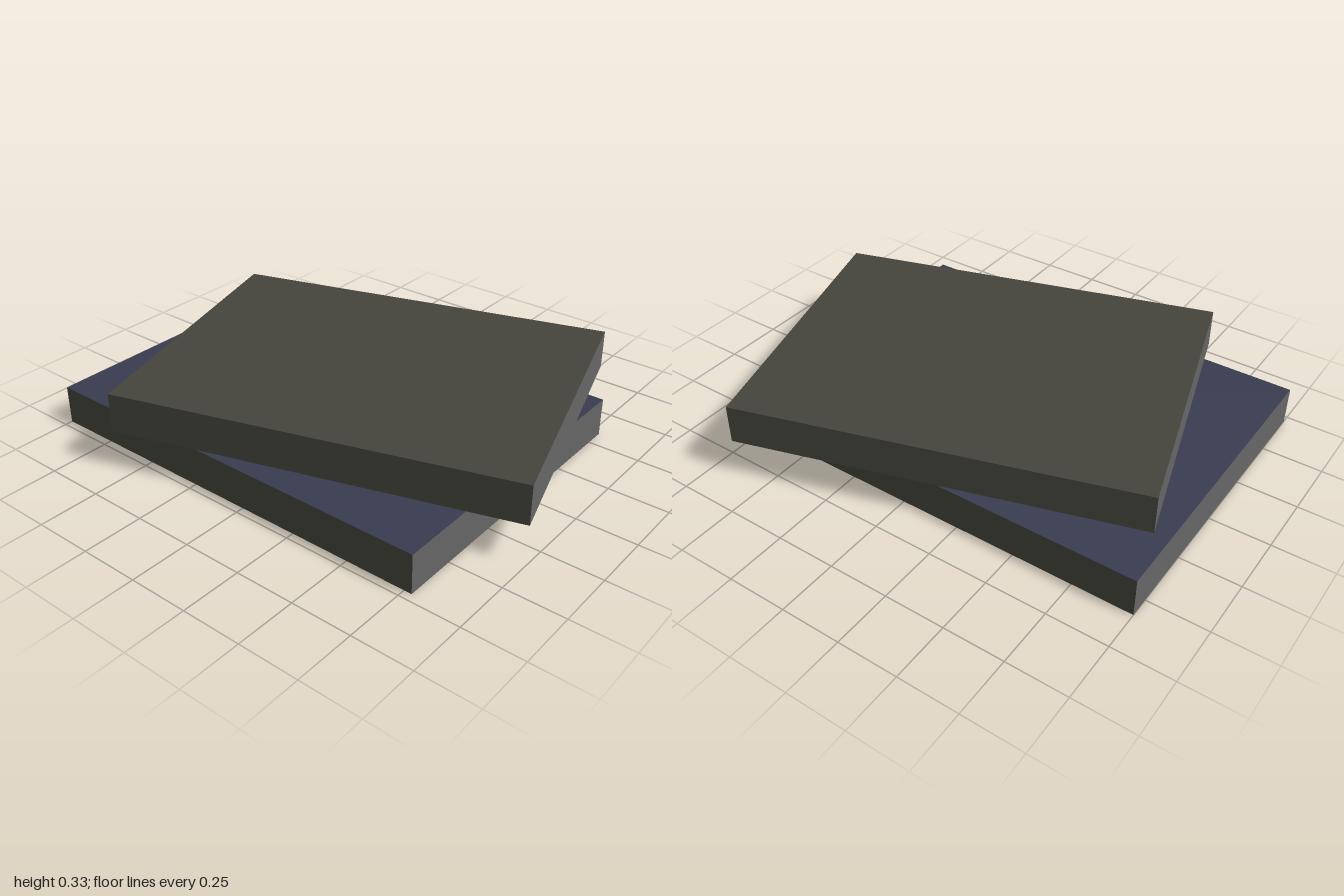
import * as THREE from 'three';

const flat = (name, color) => {
  const m = new THREE.MeshStandardMaterial({ color, side: THREE.DoubleSide });
  m.name = name;
  return m;
};

export function createModel() {
  const olive = flat('dark olive', 0x44443c);
  const grey = flat('grey', 0x666666);
  const blue = flat('slate blue', 0x383c50);

  // A shallow lid: one top panel and four thin walls, open underneath.
  function openBox(name, w, h, d, topMaterial) {
    const box = new THREE.Group();
    box.name = name;
    const panel = (part, pw, ph, material, pos, rx, ry) => {
      const mesh = new THREE.Mesh(new THREE.PlaneGeometry(pw, ph), material);
      mesh.name = part;
      mesh.position.set(...pos);
      mesh.rotation.set(rx, ry, 0);
      box.add(mesh);
    };
    panel('topPanel', w, d, topMaterial, [0, h, 0], -Math.PI / 2, 0);
    panel('frontWall', w, h, olive, [0, h / 2, d / 2], 0, 0);
    panel('backWall', w, h, olive, [0, h / 2, -d / 2], 0, Math.PI);
    panel('leftWall', d, h, grey, [w / 2, h / 2, 0], 0, Math.PI / 2);
    panel('rightWall', d, h, grey, [-w / 2, h / 2, 0], 0, -Math.PI / 2);
    return box;
  }

  const model = new THREE.Group();
  model.name = 'stackedBoxes';

  // Lower box, square to the axes
  const lower = openBox('lowerBox', 1.782, 0.164, 1.3, blue);
  lower.position.set(-0.109, 0, 0.067);

  // Upper box, turned on top of it
  const upper = openBox('upperBox', 1.65, 0.164, 1.23, olive);
  upper.position.set(0.03, 0.167, -0.002);
  upper.rotation.y = THREE.MathUtils.degToRad(17);

  model.add(lower, upper);
  return model;
}
